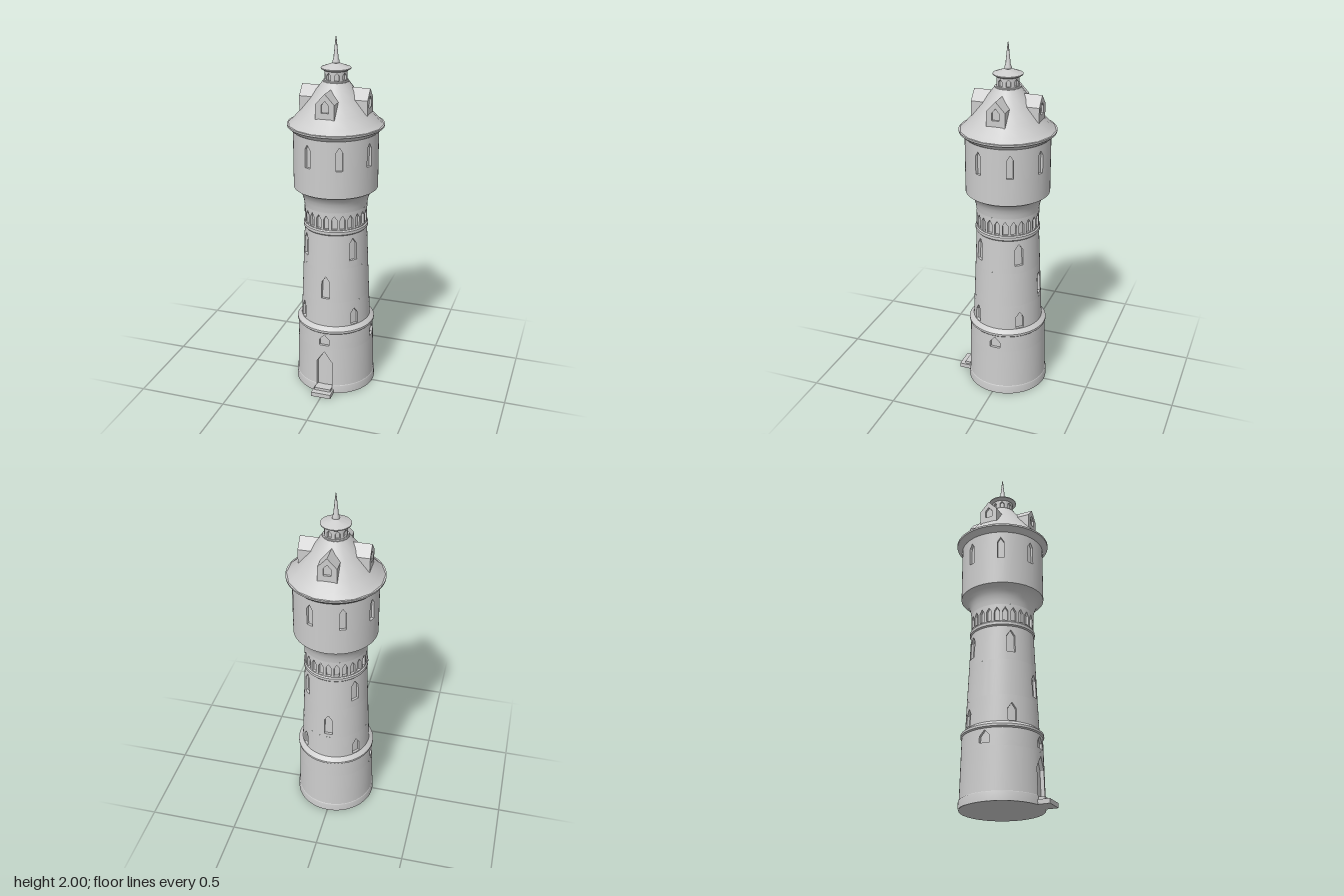
import * as THREE from 'three';
import { toCreasedNormals } from 'three/addons/utils/BufferGeometryUtils.js';

const stone = new THREE.MeshStandardMaterial({ color: 0xcccccc });
stone.name = 'stone grey';

function add(parent, name, geometry) {
  const mesh = new THREE.Mesh(geometry, stone);
  mesh.name = name;
  parent.add(mesh);
  return mesh;
}

// Turned part from [radius, height] points, bottom to top
function turned(parent, name, points, sides = 64, start = 0) {
  const pts = points.map(([r, y]) => new THREE.Vector2(r, y));
  return add(parent, name, toCreasedNormals(new THREE.LatheGeometry(pts, sides, start), 0.6));
}

// Round wall from [r0, y0] to [r1, y1] with pointed, recessed openings at the given azimuths
function wall(parent, name, [r0, y0], [r1, y1], { at, w, sill, spring, peak, depth = 0.014 }) {
  const pos = [];
  const P = (a, y, d = 0) => {
    const r = r0 + (r1 - r0) * (y - y0) / (y1 - y0) - d;
    return [Math.sin(a) * r, y, Math.cos(a) * r];
  };
  const quad = (a, b, c, d) => pos.push(...a, ...b, ...c, ...a, ...c, ...d);
  const half = w / (r0 + r1);
  const d = depth;
  at.forEach((c, i) => {
    const l = c - half, r = c + half;
    // the two halves of the opening: wall below and above, pane, sill, head
    for (const [a, b, ta, tb] of [[l, c, spring, peak], [c, r, peak, spring]]) {
      quad(P(a, y0), P(b, y0), P(b, sill), P(a, sill));
      quad(P(a, ta), P(b, tb), P(b, y1), P(a, y1));
      quad(P(a, sill, d), P(b, sill, d), P(b, tb, d), P(a, ta, d));
      quad(P(a, sill), P(b, sill), P(b, sill, d), P(a, sill, d));
      quad(P(a, ta, d), P(b, tb, d), P(b, tb), P(a, ta));
    }
    // jambs
    quad(P(l, sill), P(l, sill, d), P(l, spring, d), P(l, spring));
    quad(P(r, sill, d), P(r, sill), P(r, spring), P(r, spring, d));
    // plain wall up to the next opening
    const next = i + 1 < at.length ? at[i + 1] : at[0] + Math.PI * 2;
    const span = next - half - r;
    const n = Math.ceil(span / 0.1);
    for (let k = 0; k < n; k++) {
      const a = r + span * k / n, b = r + span * (k + 1) / n;
      quad(P(a, y0), P(b, y0), P(b, y1), P(a, y1));
    }
  });
  const g = new THREE.BufferGeometry();
  g.setAttribute('position', new THREE.Float32BufferAttribute(pos, 3));
  return add(parent, name, toCreasedNormals(g, 0.5));
}

const deg = (...list) => list.map((v) => v * Math.PI / 180);
const around = (n, offset = 0) => Array.from({ length: n }, (_, i) => (i + offset) * Math.PI * 2 / n);

// Five-sided gable outline
function gable(PathType, halfW, bottom, eave, ridge) {
  const p = new PathType();
  p.moveTo(-halfW, bottom);
  p.lineTo(halfW, bottom);
  p.lineTo(halfW, eave);
  p.lineTo(0, ridge);
  p.lineTo(-halfW, eave);
  p.closePath();
  return p;
}

function dormer() {
  const group = new THREE.Group();
  group.name = 'dormer';
  const outline = () => gable(THREE.Shape, 0.051, 1.6, 1.68, 1.735);
  const body = new THREE.ExtrudeGeometry(outline(), { depth: 0.095, bevelEnabled: false });
  add(group, 'dormerBody', body.translate(0, 0, 0.08));
  const face = outline();
  face.holes.push(gable(THREE.Path, 0.02, 1.635, 1.675, 1.698));
  const front = new THREE.ExtrudeGeometry(face, { depth: 0.012, bevelEnabled: false });
  add(group, 'dormerFront', front.translate(0, 0, 0.175));
  return group;
}

export function createModel() {
  const model = new THREE.Group();
  model.name = 'waterTower';
  const tower = new THREE.Group();
  tower.name = 'tower';
  tower.position.z = -0.013;
  model.add(tower);

  // Base storey with floor, door, plinth and small windows
  turned(tower, 'floor', [[0, 0], [0.222, 0]]);
  wall(tower, 'doorStorey', [0.222, 0], [0.215, 0.28],
    { at: [0], w: 0.09, sill: 0.035, spring: 0.195, peak: 0.26, depth: 0.02 });
  const plinth = new THREE.LatheGeometry(
    [[0.226, 0], [0.225, 0.045], [0.22, 0.05]].map((p) => new THREE.Vector2(...p)), 60, 0.22, Math.PI * 2 - 0.44);
  add(tower, 'plinth', plinth);
  wall(tower, 'baseWindows', [0.215, 0.28], [0.2125, 0.38],
    { at: deg(0, 90, 270), w: 0.058, sill: 0.3, spring: 0.335, peak: 0.366 });
  turned(tower, 'baseCornice', [[0.212, 0.375], [0.219, 0.382], [0.219, 0.394], [0.21, 0.403], [0.194, 0.415]]);

  // Doorstep
  const step = (name, w, h, z) => add(tower, name, new THREE.BoxGeometry(w, h, z - 0.18))
    .position.set(0, h / 2, (z + 0.18) / 2);
  step('lowerStep', 0.113, 0.025, 0.283);
  step('upperStep', 0.094, 0.04, 0.252);

  // Tapering shaft with three levels of windows
  const shaft = (y) => [0.195 - 0.023 * (y - 0.41) / 0.55, y];
  const diagonals = deg(50, 130, 230, 310);
  wall(tower, 'lowerShaft', shaft(0.405), shaft(0.56),
    { at: diagonals, w: 0.046, sill: 0.42, spring: 0.485, peak: 0.517 });
  wall(tower, 'middleShaft', shaft(0.56), shaft(0.76),
    { at: deg(0, 180), w: 0.046, sill: 0.582, spring: 0.68, peak: 0.712 });
  wall(tower, 'upperShaft', shaft(0.76), shaft(0.965),
    { at: diagonals, w: 0.046, sill: 0.805, spring: 0.9, peak: 0.932 });

  // String course, arcade and flared corbel
  turned(tower, 'stringCourse', [[0.172, 0.955], [0.178, 0.962], [0.178, 0.978], [0.172, 0.985]]);
  wall(tower, 'arcade', [0.172, 0.98], [0.172, 1.085],
    { at: around(24), w: 0.029, sill: 0.99, spring: 1.045, peak: 1.068 });
  turned(tower, 'flare', [[0.172, 1.085], [0.175, 1.11], [0.182, 1.135], [0.193, 1.157],
    [0.207, 1.173], [0.222, 1.184], [0.229, 1.187]]);

  // Tank drum and cornice
  wall(tower, 'drum', [0.229, 1.187], [0.229, 1.5],
    { at: around(8, 0.5), w: 0.035, sill: 1.34, spring: 1.44, peak: 1.467 });
  turned(tower, 'cornice', [[0.229, 1.5], [0.24, 1.508], [0.246, 1.518], [0.259, 1.526], [0.26, 1.536], [0.22, 1.537]]);

  // Sixteen-sided roof and four dormers
  turned(tower, 'roof', [[0.255, 1.536], [0.23, 1.558], [0.187, 1.607], [0.131, 1.68], [0.09, 1.735], [0.066, 1.768]],
    16, Math.PI / 16);
  for (const a of around(4)) {
    const d = dormer();
    d.rotation.y = a;
    tower.add(d);
  }

  // Lantern, cap and spire
  turned(tower, 'lanternBase', [[0.06, 1.755], [0.069, 1.757], [0.069, 1.766], [0.06, 1.769]]);
  wall(tower, 'lantern', [0.06, 1.765], [0.06, 1.822],
    { at: around(8, 0.5), w: 0.026, sill: 1.773, spring: 1.798, peak: 1.812, depth: 0.01 });
  turned(tower, 'lanternCap', [[0.058, 1.818], [0.068, 1.821], [0.079, 1.828], [0.079, 1.833], [0.05, 1.844], [0.014, 1.858]]);
  turned(tower, 'spire', [[0.012, 1.852], [0.019, 1.858], [0.019, 1.866], [0.014, 1.878], [0.003, 1.985], [0, 2]], 24);

  return model;
}
